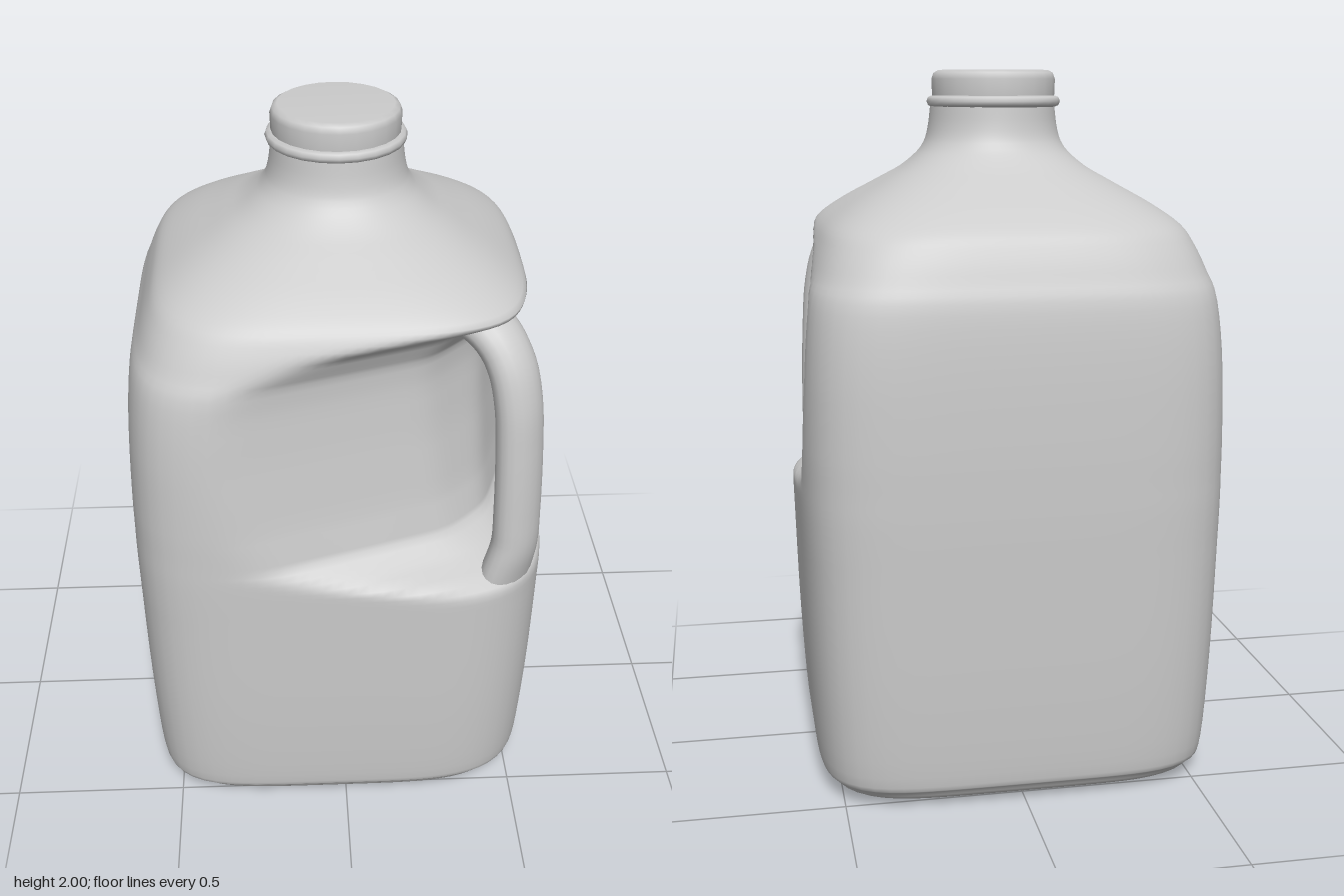
import * as THREE from 'three';

const material = new THREE.MeshStandardMaterial({ color: 0xcccccc });
const R = Math.SQRT1_2;

function addMesh(group, name, geometry) {
  const mesh = new THREE.Mesh(geometry, material);
  mesh.name = name;
  group.add(mesh);
  return mesh;
}

// Smooth skin over a stack of closed rings (arrays of Vector3), bottom to top
function loft(rings) {
  const n = rings[0].length;
  const index = [];
  for (let i = 0; i < rings.length - 1; i++) {
    for (let j = 0; j < n; j++) {
      const k = (j + 1) % n;
      const a = i * n + j, b = i * n + k, c = a + n, d = b + n;
      index.push(a, c, b, b, c, d);
    }
  }
  const geometry = new THREE.BufferGeometry().setFromPoints(rings.flat());
  geometry.setIndex(index);
  geometry.computeVertexNormals();
  return geometry;
}

// Linear lookup in a list of [y, value] keys
function lookup(keys, y) {
  if (y <= keys[0][0]) return keys[0][1];
  for (let i = 1; i < keys.length; i++) {
    const [y0, v0] = keys[i - 1], [y1, v1] = keys[i];
    if (y <= y1) return THREE.MathUtils.lerp(v0, v1, (y - y0) / (y1 - y0));
  }
  return keys[keys.length - 1][1];
}

// How far the grip recess is cut into the handle corner at each height
const recessDepth = [
  [0.72, -0.6], [0.79, 0], [0.83, 0.45], [0.88, 0.75], [1.0, 0.85], [1.2, 0.95],
  [1.36, 1], [1.43, 0.98], [1.5, 0.82], [1.55, 0.45], [1.6, 0], [1.66, -0.6],
];
// Recess walls: normal x, normal z, offset, outward travel when shallow
const recessWalls = [
  [0.948, 0.319, 0.437, 0.21],
  [R, R, 0.43, 0.3],
  [0.319, 0.948, 0.437, 0.21],
];

// Rounded-square radius at an angle, trimmed by the recess walls
function bodyRadius(angle, y, half, power) {
  const c = Math.cos(angle), s = Math.sin(angle);
  const handleCorner = c > 0 && s > 0;
  const p = handleCorner ? Math.min(power, 4.1) : power;
  const r = half / Math.pow(Math.abs(c) ** p + Math.abs(s) ** p, 1 / p);
  const depth = lookup(recessDepth, y);
  if (depth <= -0.6) return r;
  const k = 45;
  let sum = 1;
  for (const [nx, nz, offset, travel] of recessWalls) {
    const facing = nx * c + nz * s;
    if (facing > 0.05) sum += (r * facing / (offset + travel * (1 - depth))) ** k;
  }
  return r * sum ** (-1 / k);
}

function bodyGeometry() {
  // Half width, height, squareness
  const profile = new THREE.CatmullRomCurve3([
    [0.45, 0.003, 5], [0.515, 0.015, 5], [0.55, 0.045, 5.2], [0.567, 0.1, 5.5],
    [0.582, 0.35, 5.5], [0.592, 0.7, 5.5], [0.594, 0.78, 5.5], [0.595, 0.84, 5.5],
    [0.595, 0.9, 5.5], [0.595, 1.0, 5.5], [0.59, 1.2, 5.5], [0.576, 1.38, 5.2],
    [0.552, 1.46, 4.8], [0.525, 1.53, 4.4], [0.495, 1.58, 4], [0.43, 1.63, 3.6],
    [0.33, 1.69, 3], [0.245, 1.745, 2.4], [0.198, 1.8, 2.1], [0.185, 1.85, 2],
    [0.178, 1.91, 2],
  ].map((p) => new THREE.Vector3(...p)));
  const sections = profile.getPoints(80);
  sections.unshift(new THREE.Vector3(0.0001, 0, 4));
  const segments = 112;
  return loft(sections.map(({ x: half, y, z: power }) =>
    Array.from({ length: segments }, (_, j) => {
      const a = (j / segments) * Math.PI * 2;
      const r = bodyRadius(a, y, half, power);
      return new THREE.Vector3(r * Math.cos(a) - 0.005, y, r * Math.sin(a) - 0.005);
    })));
}

// Oval grip swept along the corner diagonal, flaring where it joins the body
function handleGeometry() {
  const path = new THREE.CatmullRomCurve3([
    [0.62, 0.7], [0.645, 0.8], [0.664, 0.89], [0.665, 1.0], [0.657, 1.2],
    [0.643, 1.34], [0.612, 1.44], [0.555, 1.51], [0.46, 1.55], [0.36, 1.57],
  ].map(([s, y]) => new THREE.Vector3(s, y, 0)));
  const steps = 48, segments = 20;
  const flare = [[0, 0.105], [0.1, 0.095], [0.2, 0.078], [0.75, 0.075], [0.88, 0.085], [1, 0.13]];
  const rings = [];
  for (let i = 0; i <= steps; i++) {
    const t = i / steps;
    const p = path.getPointAt(t), d = path.getTangentAt(t);
    const width = lookup(flare, t);
    rings.push(Array.from({ length: segments }, (_, j) => {
      const a = (j / segments) * Math.PI * 2;
      const out = 0.057 * Math.cos(a), side = width * Math.sin(a);
      const s = p.x + out * d.y, y = p.y - out * d.x;
      return new THREE.Vector3((s - side) * R, y, (s + side) * R);
    }));
  }
  return loft(rings);
}

export function createModel() {
  const group = new THREE.Group();
  group.name = 'jug';
  addMesh(group, 'body', bodyGeometry());
  addMesh(group, 'handle', handleGeometry());

  // Screw cap with softened top edge
  const capProfile = [[0.17, 1.89], [0.176, 1.92], [0.178, 1.975], [0.172, 1.992], [0.158, 2], [0, 2]];
  const cap = addMesh(group, 'cap', new THREE.LatheGeometry(
    capProfile.map((p) => new THREE.Vector2(...p)), 24));
  cap.position.set(-0.007, 0, -0.007);

  // Tamper ring below the cap
  const ring = addMesh(group, 'capRing', new THREE.TorusGeometry(0.177, 0.016, 8, 24).rotateX(Math.PI / 2));
  ring.position.set(-0.007, 1.913, -0.007);
  return group;
}
